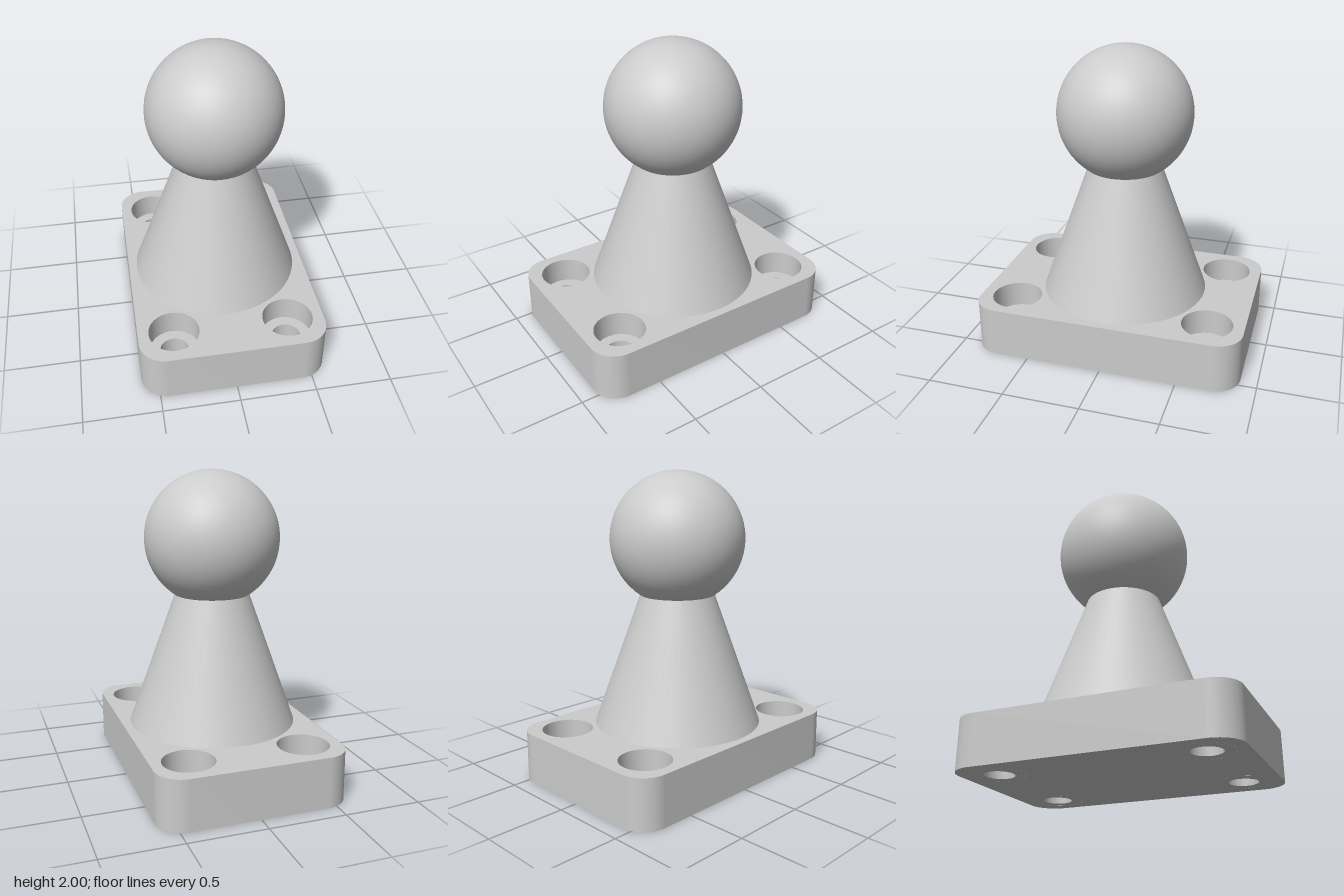
import * as THREE from 'three';
import { toCreasedNormals } from 'three/addons/utils/BufferGeometryUtils.js';

const WIDTH = 1.22, DEPTH = 1.78, HEIGHT = 0.33, CORNER = 0.17;
const HOLE_X = 0.375, HOLE_Z = 0.65, BORE = 0.165, HOLE = 0.095, SEAT = 0.16;

export function createModel() {
  const group = new THREE.Group();
  const material = new THREE.MeshStandardMaterial({ color: 0xcccccc });

  function add(name, geometry, x = 0, y = 0, z = 0) {
    const mesh = new THREE.Mesh(geometry, material);
    mesh.name = name;
    mesh.position.set(x, y, z);
    group.add(mesh);
  }

  // Rounded base plate with four wide bores
  const outline = new THREE.Shape();
  const cx = WIDTH / 2 - CORNER, cz = DEPTH / 2 - CORNER;
  [[1, 1], [-1, 1], [-1, -1], [1, -1]].forEach(([sx, sz], i) => {
    outline.absarc(sx * cx, sz * cz, CORNER, i * Math.PI / 2, (i + 1) * Math.PI / 2, false);
  });
  outline.closePath();

  // Stepped ring that narrows each bore to the screw hole
  const collar = toCreasedNormals(new THREE.LatheGeometry([
    new THREE.Vector2(BORE, SEAT),
    new THREE.Vector2(HOLE, SEAT),
    new THREE.Vector2(HOLE, 0),
    new THREE.Vector2(BORE, 0),
  ], 24), 0.7);

  for (const sx of [-1, 1]) {
    for (const sz of [-1, 1]) {
      const bore = new THREE.Path();
      bore.absarc(sx * HOLE_X, sz * HOLE_Z, BORE, 0, Math.PI * 2, true);
      outline.holes.push(bore);
      add('screwSeat', collar, sx * HOLE_X, 0, sz * HOLE_Z);
    }
  }
  const plate = new THREE.ExtrudeGeometry(outline, { depth: HEIGHT, bevelEnabled: false, curveSegments: 24 });
  plate.rotateX(-Math.PI / 2);
  add('basePlate', toCreasedNormals(plate, 0.7));

  // Tapered neck, ends hidden in the plate and the ball
  add('neck', new THREE.CylinderGeometry(0.245, 0.555, 0.865, 64, 1, true), 0, HEIGHT + 0.4325, 0);

  // Ball on top
  add('ball', new THREE.SphereGeometry(0.44, 64, 40), 0, 1.56, 0);

  return group;
}
